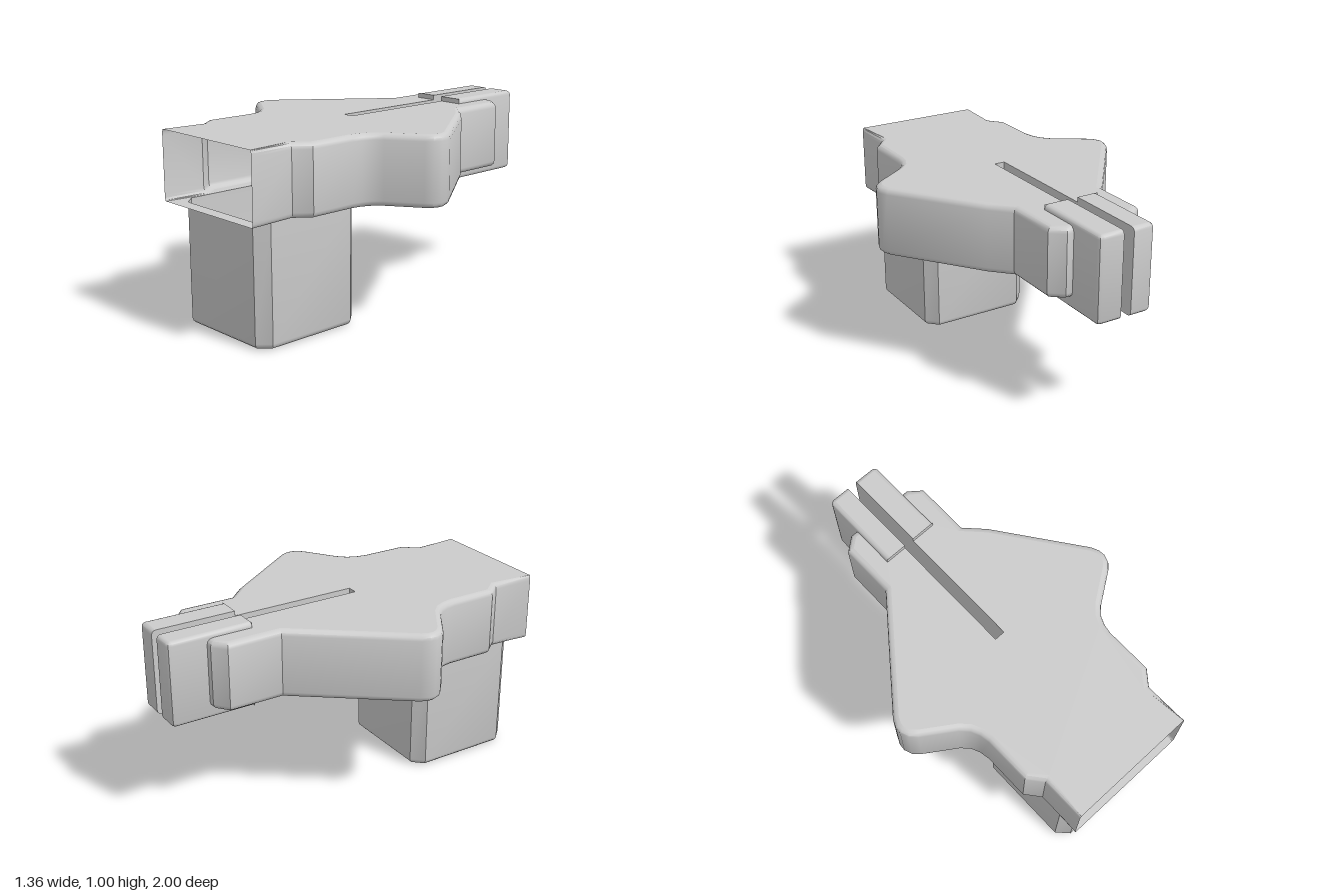
import * as THREE from 'three';
import { toCreasedNormals, mergeGeometries } from 'three/addons/utils/BufferGeometryUtils.js';

const material = new THREE.MeshStandardMaterial({ color: 0xcccccc, side: THREE.DoubleSide });

// Move each plan point [x, z, bevel scale] inward by its mitred normal
function inset(path, amount, closed) {
  const n = path.length;
  const normal = (i) => {
    const a = path[(i + n) % n], b = path[(i + 1) % n];
    const l = Math.hypot(b[0] - a[0], b[1] - a[1]);
    return [-(b[1] - a[1]) / l, (b[0] - a[0]) / l];
  };
  return path.map((p, i) => {
    const before = normal(!closed && i === 0 ? 0 : i - 1);
    const after = normal(!closed && i === n - 1 ? n - 2 : i);
    const k = amount * (p[2] ?? 1) / (1 + before[0] * after[0] + before[1] * after[1]);
    return [p[0] - k * (before[0] + after[0]), p[1] - k * (before[1] + after[1])];
  });
}

// Heights and insets of a wall with rounded bottom and, if wanted, top edges
function layers(y0, y1, r, roundTop = true) {
  const out = [];
  for (let i = 0; i <= 3; i++) {
    const a = i * Math.PI / 6;
    out.push([y0 + r * (1 - Math.sin(a)), r * (1 - Math.cos(a))]);
  }
  out.reverse();
  const bottom = out.map(([y, d]) => [y, d]).sort((a, b) => a[0] - b[0]);
  const top = bottom.map(([y, d]) => [y0 + y1 - y, d]).reverse();
  return roundTop ? [...bottom, ...top] : [...bottom, [y1, 0]];
}

// Wall that follows a plan path through the layers
function wall(path, rows, closed = false) {
  const pos = [], index = [], n = path.length;
  for (const [y, d] of rows) for (const [x, z] of inset(path, d, closed)) pos.push(x, y, z);
  for (let r = 0; r < rows.length - 1; r++) {
    for (let i = 0; i < (closed ? n : n - 1); i++) {
      const a = r * n + i, b = r * n + (i + 1) % n;
      index.push(a, b, b + n, a, b + n, a + n);
    }
  }
  const g = new THREE.BufferGeometry();
  g.setAttribute('position', new THREE.Float32BufferAttribute(pos, 3));
  g.setIndex(index);
  return toCreasedNormals(g, 0.6);
}

// Flat plate at height y facing up or down
function cap(points, y, up, hole) {
  const s = up ? -1 : 1;
  const flat = (pts) => pts.map(([x, z]) => new THREE.Vector2(x, s * z));
  const shape = new THREE.Shape(flat(points));
  if (hole) shape.holes.push(new THREE.Path(flat(hole)));
  return bare(new THREE.ShapeGeometry(shape).rotateX(s * Math.PI / 2).translate(0, y, 0));
}

function bare(g) {
  const out = g.toNonIndexed();
  out.deleteAttribute('uv');
  return out;
}

const mirror = (path) => path.map(([x, z, b]) => [-x, z, b]).reverse();

export function createModel() {
  const model = new THREE.Group();
  const add = (name, parts) => {
    const mesh = new THREE.Mesh(mergeGeometries(parts), material);
    mesh.name = name;
    model.add(mesh);
  };
  const slotL = -0.035, slotR = 0.02, slotEnd = 0.1;
  const clipX = 0.15, clipZ = -0.56, y0 = 0.62, y1 = 0.975;

  // Half outline of the body from the open mouth to the rear
  const mouth = [[0.342, 1, 0.2], [0.342, 0.77], [0.403, 0.695], [0.403, 0.45],
    [0.412, 0.4], [0.432, 0.355], [0.47, 0.315]];
  const rear = [[0.253, -0.46], [0.253, -0.745], [0.185, -0.8], [clipX, -0.8]];
  const right = [...mouth, [0.63, 0.205], [0.66, 0.175], [0.675, 0.135], [0.672, 0.1],
    [0.655, 0.06], [0.345, -0.365], ...rear];
  const left = mirror([...mouth, [0.63, 0.208], [0.665, 0.175], [0.68, 0.135], [0.678, 0.1],
    [0.66, 0.06], ...rear]);

  // Hollow leg outline with chamfered corners
  const leg = [[0.307, 0.87], [0.307, 0.38], [0.25, 0.32], [-0.25, 0.32],
    [-0.307, 0.38], [-0.307, 0.87], [-0.25, 0.93], [0.25, 0.93]];

  // Body shell, open at the mouth, notched for the slot and clip
  const bevel = 0.03, rows = layers(y0, y1, bevel);
  const plate = [...inset(right, bevel), [clipX, clipZ], [slotR, clipZ], [slotR, slotEnd],
    [slotL, slotEnd], [slotL, clipZ], [-clipX, clipZ], ...inset(left, bevel)];
  add('body', [wall(right, rows), wall(left, rows), cap(plate, y1, true), cap(plate, y0, false, leg)]);

  // Slot lining
  const lining = [[slotR, clipZ], [slotR, slotEnd], [slotL, slotEnd], [slotL, clipZ]];
  add('slot', [wall(lining, [[y0, 0], [y1, 0]])]);

  // Leg with rounded bottom
  add('leg', [wall(leg, layers(0, y0, 0.03, false), true), cap(inset(leg, 0.03, true), 0, false)]);

  // Two rear clip prongs, open towards the hollow body
  const c0 = 0.56, c1 = 1, r = 0.022, clipRows = layers(c0, c1, r);
  for (const side of [1, -1]) {
    const inner = side > 0 ? slotR : slotL;
    const half = [[clipX, clipZ], [clipX, -0.978], [0.144, -0.993], [0.128, -1], [side * inner, -1]];
    const path = side > 0 ? half : mirror(half);
    const plateTop = [...inset(path, r)];
    if (side > 0) plateTop.push([inner, clipZ]);
    else plateTop.unshift([inner, clipZ]);
    // Flat face beside the slot follows the rounded rear edge
    const profile = new THREE.Shape([[clipZ, c0], ...clipRows.map(([y, d]) => [-1 + d, y]), [clipZ, c1]]
      .map(([z, y]) => new THREE.Vector2(side * z, y)));
    const face = bare(new THREE.ShapeGeometry(profile).rotateY(-side * Math.PI / 2).translate(inner, 0, 0));
    // Front lips above and below the body
    const lip = (a, b) => bare(new THREE.PlaneGeometry(clipX - side * inner, b - a)
      .translate((side * clipX + inner) / 2, (a + b) / 2, clipZ));
    add(side > 0 ? 'leftClipProng' : 'rightClipProng', [wall(path, clipRows),
      cap(plateTop, c1, true), cap(plateTop, c0, false), face, lip(c0, y0), lip(y1, c1)]);
  }
  return model;
}
